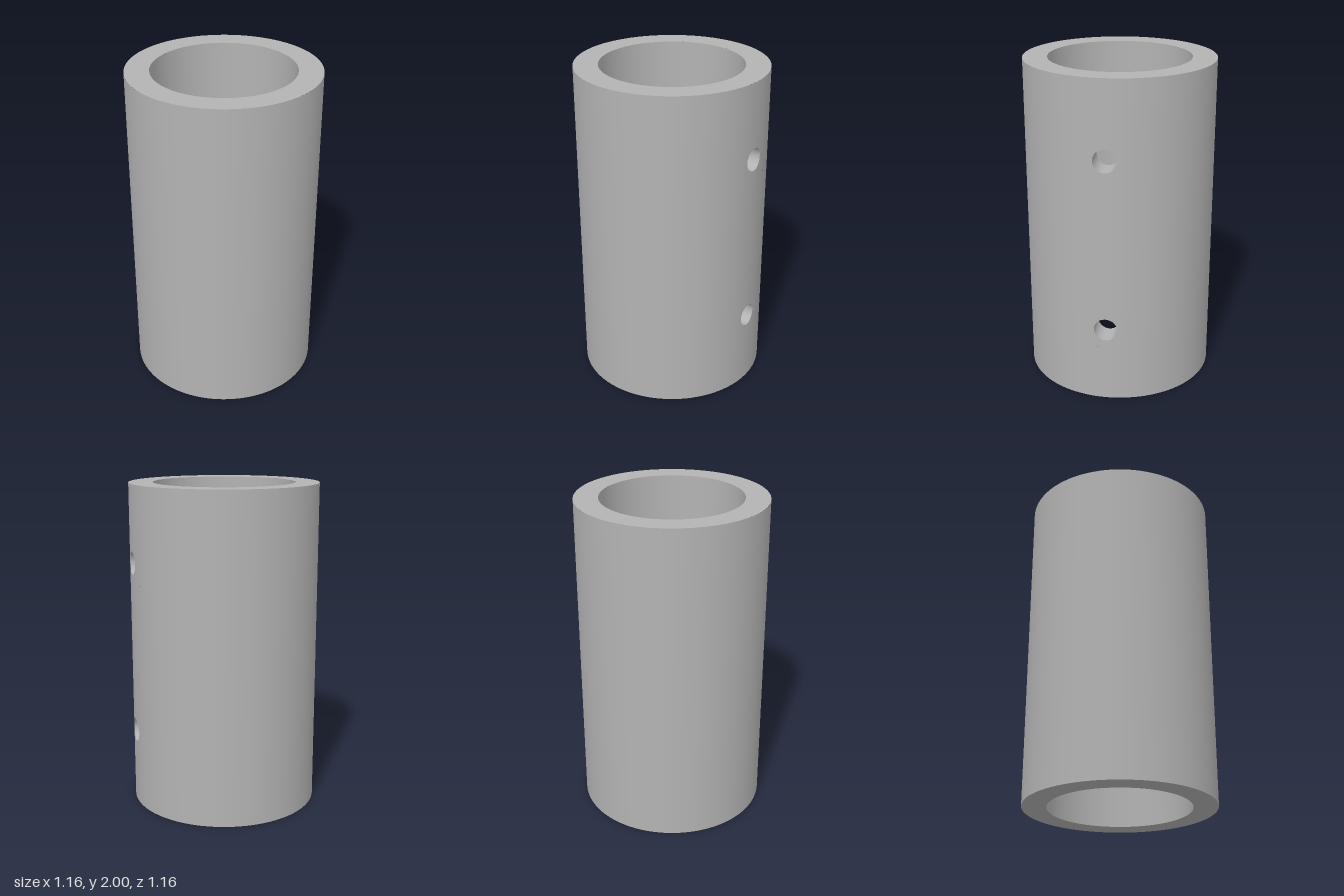
import * as THREE from 'three';
import { mergeGeometries } from 'three/addons/utils/BufferGeometryUtils.js';
import { ParametricGeometry } from 'three/addons/geometries/ParametricGeometry.js';

const OUTER = 0.578, INNER = 0.431, HEIGHT = 2;
const WEB_LOW = 0.93, WEB_HIGH = 1.07; // solid web between the two sockets
const HOLE_R = 0.07, HOLES = [0.47, 1.53];
const GAP = 0.25, PATCH = 0.12; // half angle and half height of the wall patch round a hole

// Turned surface between two [radius, y] points; the front lies right of the direction of travel
function turn(from, to, start = 0, sweep = Math.PI * 2, segments = 96) {
  const points = [from, to].map(([r, y]) => new THREE.Vector2(r, y));
  return new THREE.LatheGeometry(points, segments, start, sweep);
}

// Wall from y0 to y1, leaving a square opening on the +x side for a hole patch
function wall(radius, y0, y1, holeY, inward) {
  const band = (a, b, start, sweep, segments) => inward
    ? turn([radius, b], [radius, a], start, sweep, segments)
    : turn([radius, a], [radius, b], start, sweep, segments);
  const side = Math.PI / 2;
  return [
    band(y0, y1, side + GAP, Math.PI * 2 - 2 * GAP, 96),
    band(y0, holeY - PATCH, side - GAP, 2 * GAP, 12),
    band(holeY + PATCH, y1, side - GAP, 2 * GAP, 12),
    patch(radius, holeY, inward),
  ];
}

// Curved square patch with a round hole in it
function patch(radius, holeY, inward) {
  return new ParametricGeometry((u, v, target) => {
    const k = inward ? 1 - u : u;
    const c = Math.cos(v * Math.PI * 2), s = Math.sin(v * Math.PI * 2);
    const m = Math.max(Math.abs(c), Math.abs(s));
    const angle = THREE.MathUtils.lerp(Math.asin(HOLE_R * s / radius), GAP * s / m, k);
    const y = THREE.MathUtils.lerp(HOLE_R * c, PATCH * c / m, k);
    target.set(radius * Math.cos(angle), holeY + y, radius * Math.sin(angle));
  }, 4, 48);
}

// Inside of a radial screw hole, following both curved walls
function bore(holeY) {
  return new ParametricGeometry((u, v, target) => {
    const y = HOLE_R * Math.cos(v * Math.PI * 2), z = HOLE_R * Math.sin(v * Math.PI * 2);
    const x = THREE.MathUtils.lerp(Math.sqrt(INNER ** 2 - z * z), Math.sqrt(OUTER ** 2 - z * z), u);
    target.set(x, holeY + y, z);
  }, 2, 48);
}

export function createModel() {
  const group = new THREE.Group();
  group.name = 'shaftCoupling';
  const metal = new THREE.MeshStandardMaterial({ color: 0xb3b3b3 });
  metal.name = 'grey metal';

  const add = (name, parts) => {
    const mesh = new THREE.Mesh(mergeGeometries(parts), metal);
    mesh.name = name;
    group.add(mesh);
  };

  add('outerWall', [
    ...wall(OUTER, 0, HEIGHT / 2, HOLES[0], false),
    ...wall(OUTER, HEIGHT / 2, HEIGHT, HOLES[1], false),
  ]);
  add('lowerSocket', wall(INNER, 0, WEB_LOW, HOLES[0], true));
  add('upperSocket', wall(INNER, WEB_HIGH, HEIGHT, HOLES[1], true));
  add('endRims', [
    turn([OUTER, HEIGHT], [INNER, HEIGHT]),
    turn([INNER, 0], [OUTER, 0]),
  ]);
  add('centreWeb', [
    turn([INNER, WEB_HIGH], [0, WEB_HIGH]),
    turn([0, WEB_LOW], [INNER, WEB_LOW]),
  ]);
  add('screwHoles', HOLES.map(bore));
  return group;
}
